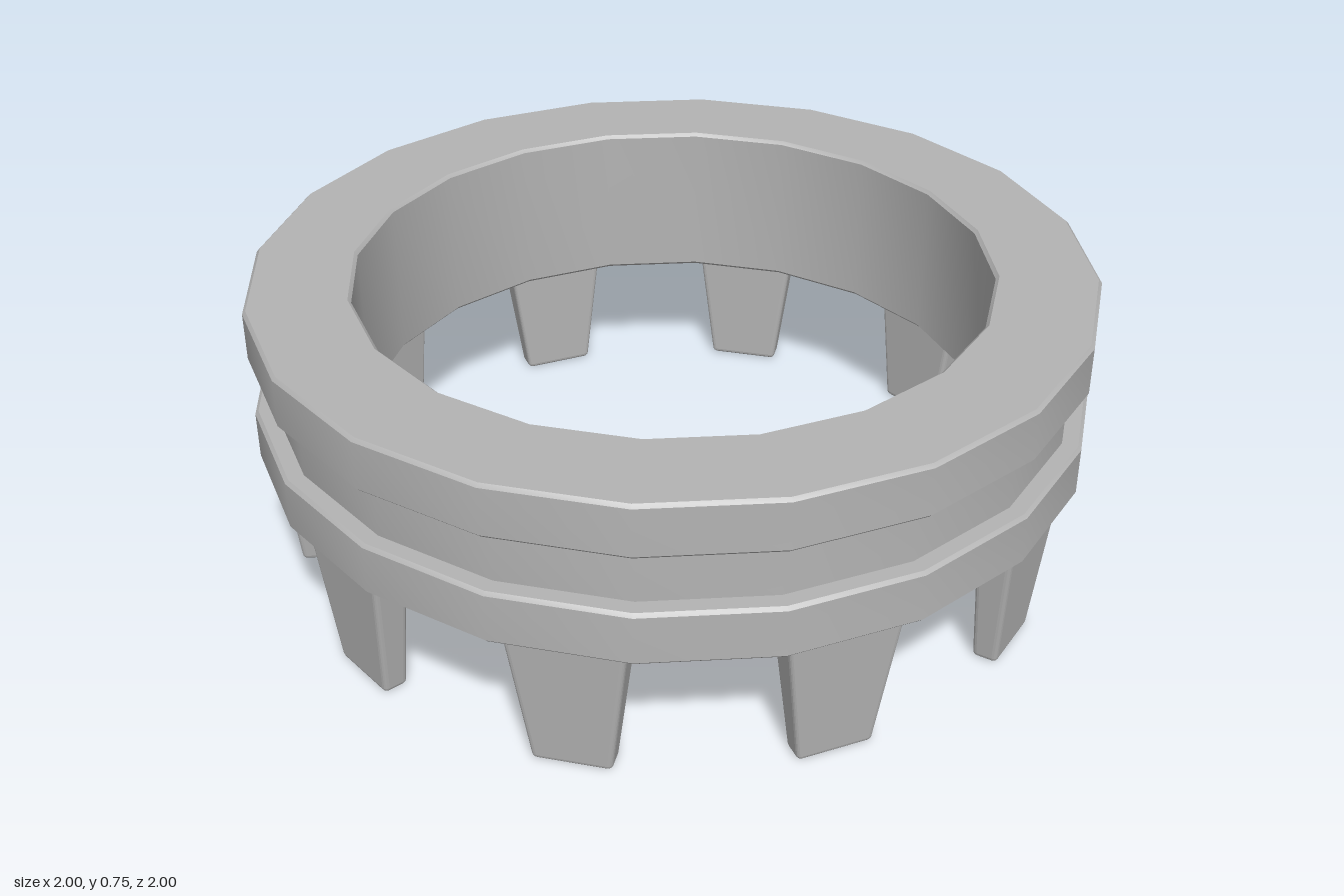
import * as THREE from 'three';
import { toCreasedNormals } from 'three/addons/utils/BufferGeometryUtils.js';
import { RoundedBoxGeometry } from 'three/addons/geometries/RoundedBoxGeometry.js';

const SIDES = 20, TEETH = 10;
const BOTTOM = 0.35, TOP = 0.745; // ring height range
const BEVEL = 0.008;

// Ring profile: two flanges with a groove between, closed through the inner wall
function ringGeometry() {
  const inner = 0.755, outer = 1, groove = 0.955, b = BEVEL;
  const flange = (y0, y1) => [[outer - b, y0], [outer, y0 + b], [outer, y1 - b], [outer - b, y1]];
  const profile = [
    [inner, BOTTOM + b], [inner + b, BOTTOM],
    ...flange(BOTTOM, 0.48), [groove, 0.48],
    [groove, 0.615], ...flange(0.615, TOP),
    [inner + b, TOP], [inner, TOP - b], [inner, BOTTOM + b],
  ].map(([r, y]) => new THREE.Vector2(r, y));
  return toCreasedNormals(new THREE.LatheGeometry(profile, SIDES), 0.5);
}

// Tooth: bevelled block, narrower at the foot, with its outer face leaning inward
function toothGeometry() {
  const height = 0.37, inner = 0.87, topOuter = 0.96, footOuter = 0.93;
  const geo = new RoundedBoxGeometry(1, height, 1, 2, 0.012);
  const pos = geo.attributes.position;
  const edge = 0.5, bevel = 0.012;
  // keep bevel size while remapping each axis to the tapered half-size
  const remap = (v, half) => {
    const inset = Math.min(edge - Math.abs(v), bevel);
    return Math.sign(v) * (half - inset);
  };
  for (let i = 0; i < pos.count; i++) {
    const y = pos.getY(i) + height / 2;
    const t = y / height;
    const halfWidth = THREE.MathUtils.lerp(0.09, 0.138, t);
    const outer = THREE.MathUtils.lerp(footOuter, topOuter, t);
    pos.setXYZ(i, remap(pos.getX(i), halfWidth), y,
      (inner + outer) / 2 + remap(pos.getZ(i), (outer - inner) / 2));
  }
  const flat = geo.index ? geo.toNonIndexed() : geo;
  flat.computeVertexNormals();
  return flat;
}

export function createModel() {
  const model = new THREE.Group();
  model.name = 'toothedRing';
  const grey = new THREE.MeshStandardMaterial({ name: 'grey', color: 0xb4b4b4 });

  const ring = new THREE.Mesh(ringGeometry(), grey);
  ring.name = 'groovedRing';
  model.add(ring);

  // Teeth sit under the middle of every second side of the ring
  const toothGeo = toothGeometry();
  for (let i = 0; i < TEETH; i++) {
    const tooth = new THREE.Mesh(toothGeo, grey);
    tooth.name = `tooth${i + 1}`;
    tooth.rotation.y = Math.PI / SIDES + (i * 2 * Math.PI) / TEETH;
    model.add(tooth);
  }
  return model;
}
